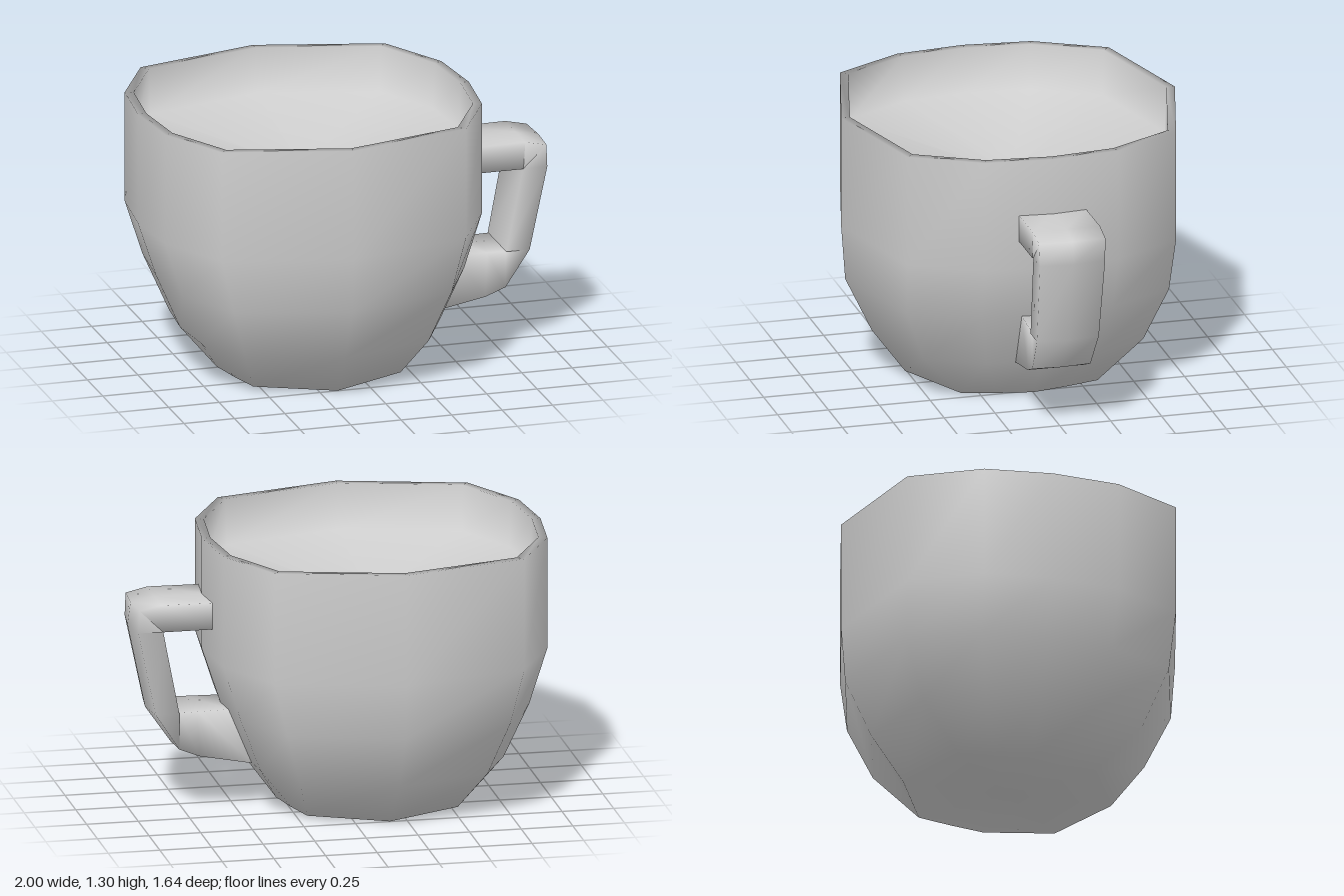
import * as THREE from 'three';

// Skin a list of closed rings (equal point counts) into a smooth indexed surface
function skin(rings) {
  const n = rings[0].length, index = [];
  for (let i = 0; i < rings.length - 1; i++) {
    for (let j = 0; j < n; j++) {
      const k = (j + 1) % n;
      const a = i * n + j, b = i * n + k, c = a + n, d = b + n;
      index.push(a, c, b, b, c, d);
    }
  }
  const geometry = new THREE.BufferGeometry();
  geometry.setAttribute('position', new THREE.Float32BufferAttribute(rings.flat(2), 3));
  geometry.setIndex(index);
  geometry.computeVertexNormals();
  return geometry;
}

// Mirror a quarter outline into a closed twelve-sided one
function mirrorQuarter(quarter) {
  const half = [...quarter, ...quarter.slice(0, 3).reverse().map(([x, z]) => [-x, z])];
  return [...half, ...half.slice(1, -1).reverse().map(([x, z]) => [x, -z])];
}

export function createModel() {
  const group = new THREE.Group();
  const material = new THREE.MeshStandardMaterial({ color: 0xcccccc, side: THREE.DoubleSide });
  const add = (name, geometry) => {
    const mesh = new THREE.Mesh(geometry, material);
    mesh.name = name;
    group.add(mesh);
  };

  // Outlines with unit half-widths: the body, and the more pointed foot
  const body = mirrorQuarter([[1, 0], [0.957, 0.402], [0.738, 0.805], [0, 1]]);
  const foot = mirrorQuarter([[1, 0], [0.92, 0.333], [0.82, 0.657], [0, 1]]);

  // Cup: outline, centre x, half-width in x, half-width in z, height
  const profile = [
    [foot, -0.165, 0, 0, 0], [foot, -0.165, 0.445, 0.51, 0.004],
    [body, -0.177, 0.615, 0.67, 0.22], [body, -0.18, 0.73, 0.8, 0.49],
    [body, -0.18, 0.82, 0.82, 0.76], [body, -0.18, 0.82, 0.82, 1.305],
    // rim, inner wall and shallow dished floor
    [body, -0.18, 0.778, 0.778, 1.305], [body, -0.18, 0.77, 0.77, 1.08],
    [body, -0.18, 0, 0, 0.95],
  ];
  const cupRings = profile.map(([outline, cx, rx, rz, y]) =>
    outline.map(([x, z]) => [cx + x * rx, y, z * rz]));
  add('cup', skin(cupRings));

  // Handle stations: outer x, y, inner x, y, half-width, inset of the outer edges
  const stations = [
    [0.61, 1.03, 0.61, 0.9, 0.165, 0],
    [0.87, 1.033, 0.86, 0.9, 0.165, 0],
    [0.985, 1.01, 0.86, 0.9, 0.162, 0.01],
    [1.0, 0.9, 0.86, 0.9, 0.16, 0.02],
    [0.915, 0.49, 0.78, 0.49, 0.152, 0.02],
    [0.79, 0.31, 0.78, 0.49, 0.143, 0.012],
    [0.68, 0.27, 0.69, 0.49, 0.138, 0],
    [0.42, 0.217, 0.53, 0.49, 0.128, 0],
  ];
  const handleRings = stations.map(([ox, oy, ix, iy, w, inset]) => [
    [ox - inset, oy, w], [ox, oy, 0], [ox - inset, oy, -w], [ix, iy, -w], [ix, iy, w],
  ]);
  add('handle', skin(handleRings));

  return group;
}
